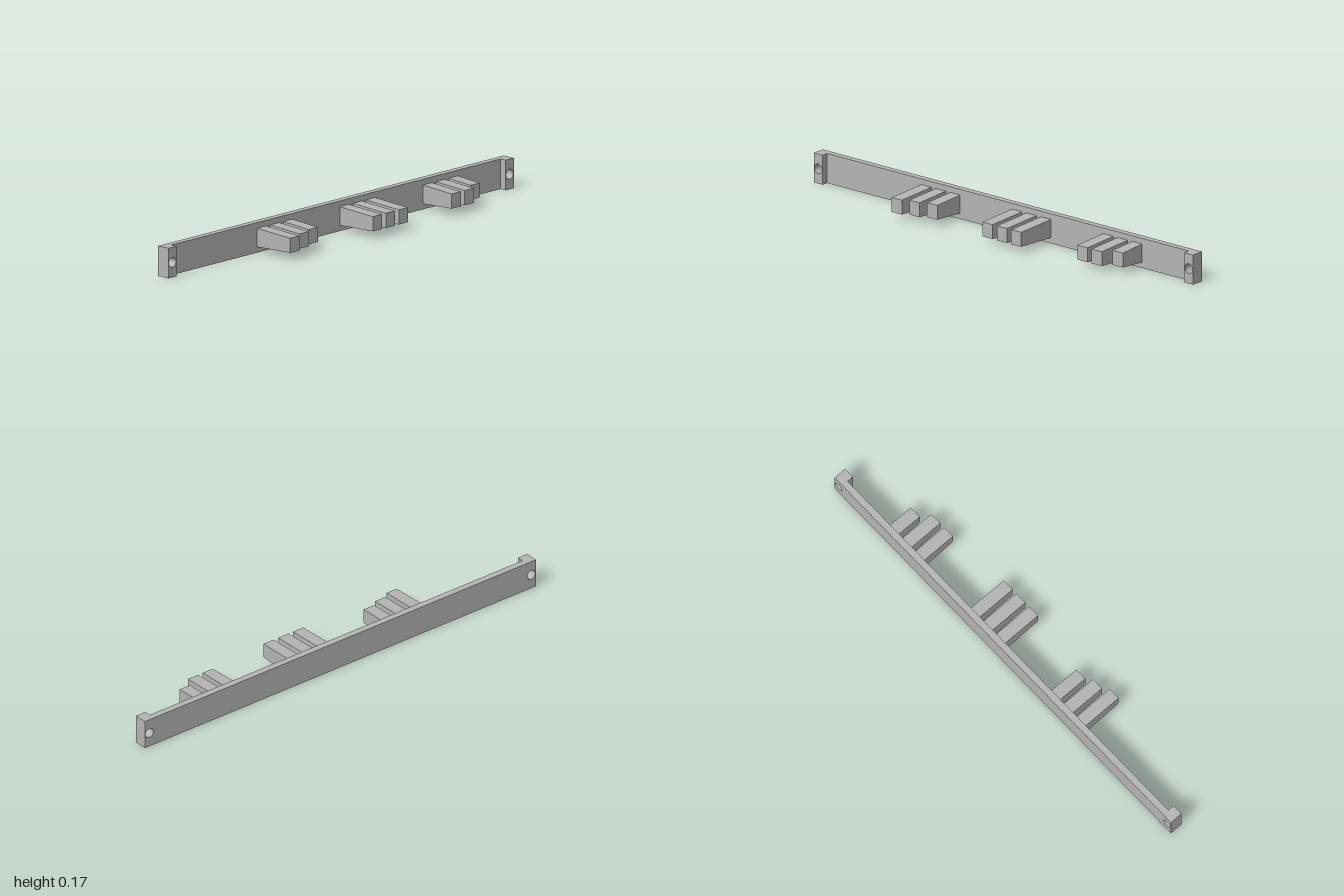
import * as THREE from 'three';

const H = 0.172;       // bar height
const MID = H / 2;
const END = 1.375;     // half length of the bar
const HOLE_U = 1.343;  // screw hole distance from the middle
const HOLE_R = 0.028;

// Upright plate from u0 to u1, extruded from w0 to w1, with round holes
function plate(u0, u1, w0, w1, holes) {
  const s = new THREE.Shape();
  s.moveTo(u0, 0);
  s.lineTo(u1, 0);
  s.lineTo(u1, H);
  s.lineTo(u0, H);
  s.closePath();
  for (const u of holes) {
    const p = new THREE.Path();
    p.absarc(u, MID, HOLE_R, 0, Math.PI * 2, true);
    s.holes.push(p);
  }
  const g = new THREE.ExtrudeGeometry(s, { depth: w1 - w0, bevelEnabled: false, curveSegments: 24 });
  return g.translate(0, 0, w0);
}

// Block whose height tapers from its root to its tip
function finger(u, tip) {
  const g = new THREE.BoxGeometry(0.073, 2, tip);
  g.translate(u + 0.0365, 0, tip / 2);
  const p = g.attributes.position;
  for (let i = 0; i < p.count; i++) {
    p.setY(i, MID + p.getY(i) * (p.getZ(i) > tip / 2 ? 0.042 : 0.053));
  }
  g.computeVertexNormals();
  return g;
}

export function createModel() {
  const grey = new THREE.MeshStandardMaterial({ color: 0xb4b4b4 });
  grey.name = 'grey';
  const model = new THREE.Group();
  const rail = new THREE.Group();
  rail.name = 'rail';
  model.add(rail);

  const add = (name, geometry) => {
    const m = new THREE.Mesh(geometry, grey);
    m.name = name;
    rail.add(m);
  };

  // Long backing bar and the raised pads around its screw holes
  add('backBar', plate(-END, END, -0.039, 0, [-HOLE_U, HOLE_U]));
  add('rightEndPad', plate(-END, -1.311, 0, 0.039, [-HOLE_U]));
  add('leftEndPad', plate(1.311, END, 0, 0.039, [HOLE_U]));

  // Three sets of three fingers: start along the bar, then lengths
  const sets = [
    [-0.628, [0.253, 0.225, 0.195]],
    [0.03, [0.253, 0.253, 0.253]],
    [0.691, [0.221, 0.221, 0.164]],
  ];
  sets.forEach(([start, tips], s) => tips.forEach((tip, i) =>
    add(`finger${s + 1}_${i + 1}`, finger(start + i * 0.104, tip))));

  // The bar lies along the diagonal
  rail.rotation.y = Math.PI / 4;
  return model;
}
